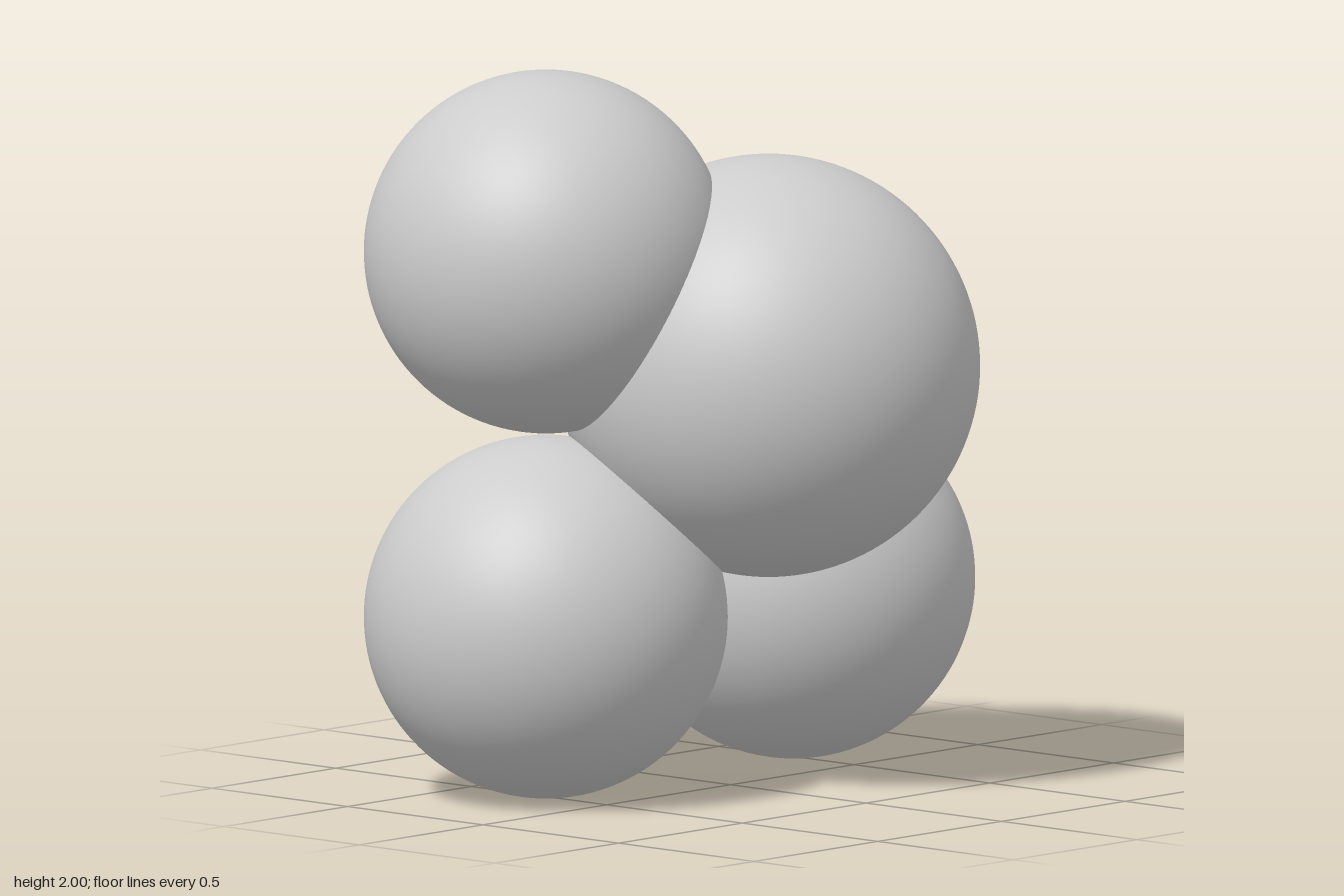
import * as THREE from 'three';

export function createModel() {
  const model = new THREE.Group();
  const paleGrey = new THREE.MeshStandardMaterial({ color: 0xcccccc });
  paleGrey.name = 'paleGrey';

  // One smooth ball at a given centre
  function addBall(name, radius, x, y, z) {
    const ball = new THREE.Mesh(new THREE.SphereGeometry(radius, 96, 64), paleGrey);
    ball.name = name;
    ball.position.set(x, y, z);
    model.add(ball);
  }

  // Large ball nested against three smaller ones
  addBall('largeBall', 0.577, 0.14, 1.172, 0);

  // Small balls: two on the ground, one stacked above the front one
  const smallRadius = 0.496;
  addBall('lowerFrontBall', smallRadius, -0.225, 0.498, 0.5);
  addBall('lowerBackBall', smallRadius, -0.225, 0.498, -0.5);
  addBall('upperFrontBall', smallRadius, -0.225, 1.504, 0.5);

  return model;
}
